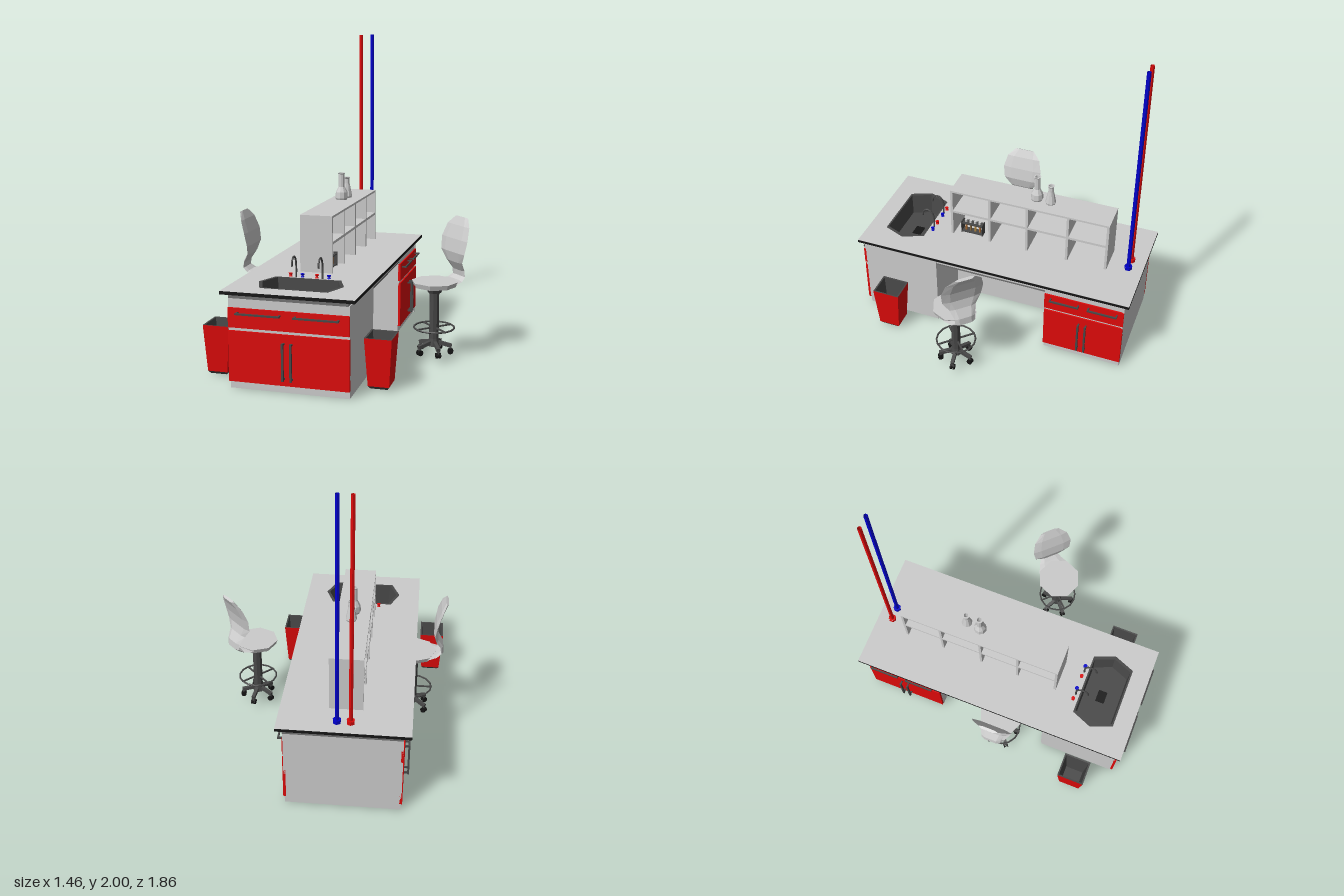
import * as THREE from 'three';

const mat = (color, side = THREE.FrontSide) =>
  new THREE.MeshStandardMaterial({ color, side, flatShading: true });
const grey = mat(0xcccccc), red = mat(0xdd0a0a), blue = mat(0x0000cc);
const dark = mat(0x484848), shade = mat(0x707070), black = mat(0x151515);
const both = { grey: mat(0xcccccc, 2), dark: mat(0x484848, 2), red: mat(0xdd0a0a, 2), blue: mat(0x0000cc, 2) };
const CX = -0.15; // bench centre line

function add(parent, name, geo, material, x = 0, y = 0, z = 0) {
  const m = new THREE.Mesh(geo, material);
  m.name = name;
  m.position.set(x, y, z);
  parent.add(m);
  return m;
}
// Box given by its min and max limits
function box(parent, name, material, x0, x1, y0, y1, z0, z1) {
  return add(parent, name, new THREE.BoxGeometry(x1 - x0, y1 - y0, z1 - z0), material,
    (x0 + x1) / 2, (y0 + y1) / 2, (z0 + z1) / 2);
}
const cyl = (rTop, rBot, h, n = 8, open = false) => new THREE.CylinderGeometry(rTop, rBot, h, n, 1, open);
function group(parent, name) {
  const g = new THREE.Group();
  g.name = name;
  parent.add(g);
  return g;
}
// Skin over rings of equal point count, with optional end caps
function loft(rings, capStart, capEnd) {
  const n = rings[0].length, idx = [];
  for (let j = 0; j < rings.length - 1; j++)
    for (let i = 0; i < n; i++) {
      const a = j * n + i, b = j * n + (i + 1) % n;
      idx.push(a, b, b + n, a, b + n, a + n);
    }
  const e = (rings.length - 1) * n;
  for (let i = 1; i < n - 1; i++) {
    if (capStart) idx.push(0, i + 1, i);
    if (capEnd) idx.push(e, e + i, e + i + 1);
  }
  const g = new THREE.BufferGeometry();
  g.setAttribute('position', new THREE.Float32BufferAttribute(rings.flat(2), 3));
  g.setIndex(idx);
  g.computeVertexNormals();
  return g;
}

// Drawers, doors and handles, facing +z with the door face at z = 0
function cabinetFace(parent, w) {
  const g = group(parent, 'cabinetFace'), h = w / 2;
  box(g, 'drawerPanel', red, -h, h, 0.36, 0.475, -0.017, 0);
  box(g, 'doorPanel', red, -h, h, 0.045, 0.342, -0.017, 0);
  box(g, 'topRail', grey, -h, h, 0.475, 0.53, -0.03, -0.01);
  box(g, 'middleRail', grey, -h, h, 0.342, 0.36, -0.03, -0.01);
  box(g, 'plinth', grey, -h + 0.003, h - 0.003, 0, 0.05, -0.03, -0.018);
  for (const s of [-1, 1]) {
    const x = s * w * 0.24, l = w * 0.185, d = s * 0.024;
    box(g, 'drawerHandle', dark, x - l, x + l, 0.443, 0.453, 0.022, 0.032);
    box(g, 'doorHandle', dark, d - 0.006, d + 0.006, 0.08, 0.3, 0.02, 0.032);
    for (const t of [-1, 1])
      box(g, 'handlePost', dark, x + t * l * 0.95 - 0.005, x + t * l * 0.95 + 0.005, 0.443, 0.453, -0.02, 0.025);
    for (const y of [0.085, 0.285])
      box(g, 'handlePost', dark, d - 0.005, d + 0.005, y, y + 0.01, -0.02, 0.025);
  }
  return g;
}
// Plain cabinet wall with a slightly inset plinth
function wall(parent, x0, x1, z0, z1) {
  box(parent, 'cabinetWall', grey, x0, x1, 0.05, 0.53, z0, z1);
  box(parent, 'plinth', grey, x0 + 0.003, x1 - 0.003, 0, 0.05, z0 + 0.003, z1 - 0.003);
}

const sinkOutline = [[-0.2, -0.135], [0.2, -0.135], [0.254, 0], [0.2, 0.137], [-0.2, 0.137], [-0.254, 0]];
const SZ = 0.66;
// Bench-sized outline with the sink cut out; lies flat after rotating
function topShape(x0, x1, z0, z1) {
  const v = (x, z) => new THREE.Vector2(x, -z);
  const s = new THREE.Shape([v(x0, z1), v(x1, z1), v(x1, z0), v(x0, z0)]);
  s.holes.push(new THREE.Path(sinkOutline.map(([x, z]) => v(CX + x, SZ + z))));
  return s;
}
function slab(parent, name, material, shape, y0, y1) {
  const geo = new THREE.ExtrudeGeometry(shape, { depth: y1 - y0, bevelEnabled: false });
  add(parent, name, geo.rotateX(-Math.PI / 2), material, 0, y0, 0);
}

function buildBench(root) {
  const g = group(root, 'bench'), L = CX - 0.355, R = CX + 0.355, t = 0.012;
  slab(g, 'underTop', shade, topShape(L + 0.005, R - 0.005, -0.92, 0.9), 0.53, 0.552);
  slab(g, 'counterEdge', black, topShape(-0.545, 0.24, -0.932, 0.918), 0.552, 0.57);
  add(g, 'counterSurface', new THREE.ShapeGeometry(topShape(-0.545, 0.24, -0.932, 0.918)).rotateX(-Math.PI / 2),
    grey, 0, 0.5715, 0);
  // Front cabinet, open below
  wall(g, L, L + t, 0.37, 0.885);
  wall(g, R - t, R, 0.37, 0.885);
  wall(g, L, R, 0.37, 0.37 + t);
  cabinetFace(g, 0.71).position.set(CX, 0, 0.9);
  // Rear cabinet with doors on both sides
  wall(g, L + 0.015, R - 0.015, -0.38 - t, -0.38);
  wall(g, L + 0.005, R - 0.005, -0.9, -0.9 + t);
  for (const s of [-1, 1]) {
    const f = cabinetFace(g, 0.52);
    f.position.set(CX + s * 0.355, 0, -0.64);
    f.rotation.y = s * Math.PI / 2;
    box(g, 'kneeApron', grey, CX + s * 0.34 - 0.008, CX + s * 0.34 + 0.008, 0.5, 0.53, -0.38, 0.37);
  }
  // Knee space
  box(g, 'kneeDivider', grey, CX - 0.008, CX + 0.008, 0, 0.49, -0.38, 0.37);
  box(g, 'kneeShelf', shade, L + 0.01, R - 0.01, 0.485, 0.5, -0.38, 0.37);
}

function buildSink(root) {
  const g = group(root, 'sink');
  const ring = (k, y) => sinkOutline.map(([x, z]) => [CX + x * k, y, SZ + z * k]);
  add(g, 'basin', loft([ring(1.01, 0.573), ring(0.93, 0.573), ring(0.88, 0.43)], false, true), both.dark);
  box(g, 'drain', black, CX - 0.04, CX + 0.04, 0.43, 0.434, SZ - 0.03, SZ + 0.03);
  const arc = [[0.57, 0.5], [0.65, 0.5], [0.69, 0.515], [0.705, 0.54], [0.69, 0.57], [0.65, 0.58]];
  for (const x of [-0.233, -0.07]) {
    const path = new THREE.CatmullRomCurve3(arc.map(([y, z]) => new THREE.Vector3(x, y, z)));
    add(g, 'faucet', new THREE.TubeGeometry(path, 14, 0.006, 6), both.dark);
    for (const s of [-1, 1]) {
      const m = s < 0 ? red : blue;
      add(g, 'tapStem', cyl(0.005, 0.012, 0.014), m, x + s * 0.037, 0.578, 0.493);
      add(g, 'tapKnob', cyl(0.013, 0.01, 0.008), m, x + s * 0.037, 0.588, 0.493);
    }
  }
}

function buildShelf(root) {
  const g = group(root, 'shelfUnit'), x0 = -0.253, x1 = -0.05;
  box(g, 'shelfTop', grey, x0, x1, 0.908, 0.921, -0.707, 0.365);
  box(g, 'middleShelf', grey, x0, x1, 0.747, 0.763, -0.7, 0.36);
  for (const z of [0.357, 0.092, -0.165, -0.438, -0.699])
    box(g, 'shelfUpright', grey, x0, x1, 0.57, 0.91, z - 0.008, z + 0.008);
  // Test tube rack
  const rack = group(g, 'tubeRack');
  for (const y of [0.58, 0.645]) box(rack, 'rackPlate', dark, -0.13, -0.08, y, y + 0.006, 0.155, 0.305);
  for (const z of [0.155, 0.3]) box(rack, 'rackEnd', dark, -0.13, -0.08, 0.57, 0.66, z, z + 0.006);
  const tubeMats = [mat(0xb87333), mat(0xcc9944), mat(0x8a6a40), mat(0xb87333)];
  tubeMats.forEach((m, i) => {
    const z = 0.182 + i * 0.032;
    add(rack, 'testTube', cyl(0.008, 0.007, 0.075, 6), m, -0.105, 0.61, z);
    add(rack, 'tubeNeck', cyl(0.009, 0.009, 0.02, 6), grey, -0.105, 0.658, z);
  });
  // Flasks
  const flask = (name, x, z, profile) => add(g, name,
    new THREE.LatheGeometry(profile.map(([r, y]) => new THREE.Vector2(r, y)), 9), both.grey, x, 0.93, z);
  flask('tallFlask', -0.153, -0.197,
    [[0, 0], [0.036, 0], [0.041, 0.012], [0.038, 0.05], [0.02, 0.085], [0.019, 0.168], [0.024, 0.175], [0.015, 0.175], [0.014, 0.09]]);
  flask('conicalFlask', -0.143, -0.292,
    [[0, 0], [0.03, 0], [0.035, 0.01], [0.018, 0.095], [0.017, 0.125], [0.023, 0.135], [0.014, 0.135], [0.013, 0.09]]);
}

function buildBin(root, x) {
  const g = group(root, 'bin');
  g.position.set(x, 0, 0.655);
  const ring = (w, d, y) => [[w, y, d], [w, y, -d], [-w, y, -d], [-w, y, d]];
  add(g, 'binShell', loft([ring(0.062, 0.07, 0.025), ring(0.08, 0.09, 0.31)]), both.red);
  add(g, 'binFoot', loft([ring(0.05, 0.056, 0.008), ring(0.062, 0.07, 0.025)], true, false), both.dark);
  add(g, 'binLining', loft([ring(0.08, 0.09, 0.31), ring(0.07, 0.08, 0.309), ring(0.052, 0.06, 0.03)], false, true), both.dark);
}

function buildChair(root, x, z, turn) {
  const g = group(root, 'chair');
  g.position.set(x, 0, z);
  g.rotation.y = turn;
  // Star base with casters
  for (let i = 0; i < 5; i++) {
    const leg = group(g, 'baseLeg');
    leg.rotation.y = i * Math.PI * 0.4;
    const bar = add(leg, 'legBar', new THREE.BoxGeometry(0.1, 0.022, 0.022), dark, 0.062, 0.104, 0);
    bar.rotation.z = -0.25;
    add(leg, 'casterStem', cyl(0.008, 0.008, 0.03, 6), dark, 0.103, 0.08, 0);
    for (const s of [-1, 1])
      add(leg, 'casterWheel', cyl(0.018, 0.018, 0.012).rotateX(Math.PI / 2), black, 0.103, 0.058, s * 0.009);
  }
  add(g, 'baseHub', cyl(0.03, 0.038, 0.05), dark, 0, 0.115, 0);
  add(g, 'column', cyl(0.03, 0.03, 0.3), dark, 0, 0.28, 0);
  add(g, 'columnCollar', cyl(0.06, 0.04, 0.04), dark, 0, 0.447, 0);
  // Foot ring
  add(g, 'footRing', new THREE.TorusGeometry(0.125, 0.006, 5, 16).rotateX(Math.PI / 2), dark, 0, 0.207, 0);
  for (let i = 0; i < 2; i++)
    add(g, 'ringSpoke', new THREE.BoxGeometry(0.25, 0.008, 0.01), dark, 0, 0.207, 0).rotation.y = i * Math.PI / 2;
  // Seat and curved back
  add(g, 'seatPlate', cyl(0.11, 0.09, 0.012), dark, 0, 0.465, 0);
  add(g, 'seat', cyl(0.143, 0.132, 0.03), grey, 0, 0.485, 0);
  const spine = [[-0.09, 0.485, 0.11], [-0.15, 0.49, 0.08], [-0.182, 0.515, 0.065], [-0.178, 0.555, 0.065],
    [-0.145, 0.61, 0.085], [-0.132, 0.67, 0.125], [-0.145, 0.75, 0.136], [-0.172, 0.83, 0.115], [-0.198, 0.88, 0.065]];
  const rings = spine.map(([px, py, w], i) => {
    const a = spine[Math.max(i - 1, 0)], b = spine[Math.min(i + 1, spine.length - 1)];
    const l = Math.hypot(b[0] - a[0], b[1] - a[1]), nx = -(b[1] - a[1]) / l, ny = (b[0] - a[0]) / l, t = 0.009;
    return [[-t, -w], [t, -w * 0.6], [t, w * 0.6], [-t, w], [-t, w * 0.6], [-t, -w * 0.6]]
      .map(([n, s], k) => {
        const m = k === 0 || k === 3 ? -0.3 * t : n;
        return [px + nx * m, py + ny * m, s];
      });
  });
  add(g, 'backrest', loft(rings, true, true), grey);
}

export function createModel() {
  const root = new THREE.Group();
  root.name = 'labBench';
  buildBench(root);
  buildSink(root);
  buildShelf(root);
  // Supply pipes
  for (const [x, m] of [[-0.19, 'red'], [-0.11, 'blue']]) {
    add(root, 'pipe', cyl(0.013, 0.013, 1.43, 6, true), both[m], x, 1.285, -0.837);
    add(root, 'pipeFlange', cyl(0.025, 0.025, 0.025, 6, true), both[m], x, 0.583, -0.837);
    add(root, 'flangeFace', new THREE.RingGeometry(0.013, 0.025, 6).rotateX(-Math.PI / 2), both[m], x, 0.595, -0.837);
  }
  buildBin(root, -0.65);
  buildBin(root, 0.325);
  buildChair(root, -0.53, 0.085, 0);
  buildChair(root, 0.525, 0.102, Math.PI + 0.765);
  return root;
}
